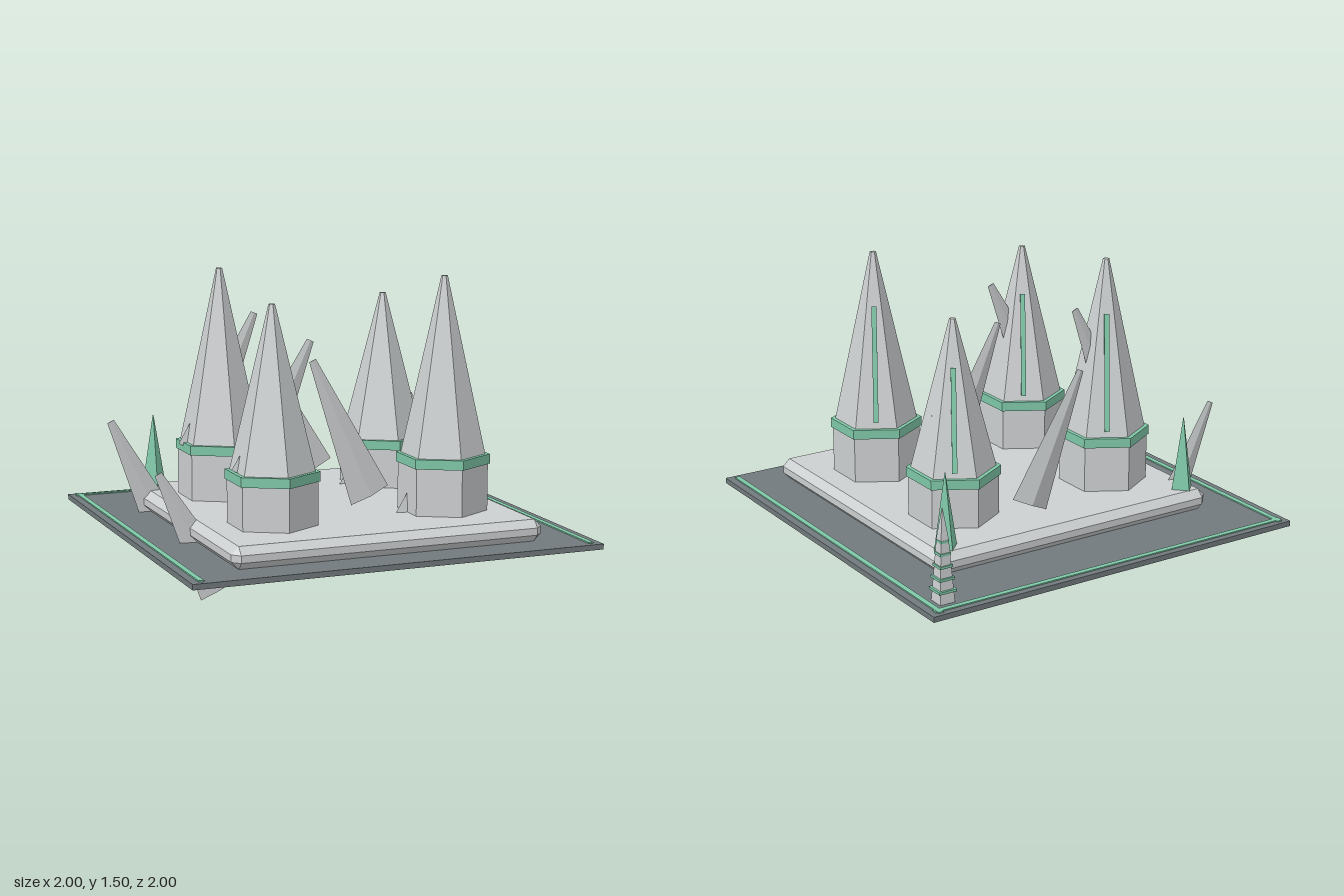
import * as THREE from 'three';
import { ConvexGeometry } from 'three/addons/geometries/ConvexGeometry.js';

const flat = (name, color) => {
  const m = new THREE.MeshStandardMaterial({ color, flatShading: true });
  m.name = name;
  return m;
};

export function createModel() {
  const stone = flat('pale stone', 0xcdd0d1);
  const slate = flat('slate', 0x727a7d);
  const green = flat('mint green', 0x7fc8a8);
  const model = new THREE.Group();
  model.name = 'crystalCourt';

  const add = (name, geo, mat, x, y, z, parent = model) => {
    const mesh = new THREE.Mesh(geo, mat);
    mesh.name = name;
    mesh.position.set(x, y, z);
    parent.add(mesh);
    return mesh;
  };
  const box = (w, h, d) => new THREE.BoxGeometry(w, h, d);
  // Prism or frustum standing on y = 0
  const frustum = (rTop, rBottom, h, sides) =>
    new THREE.CylinderGeometry(rTop, rBottom, h, sides).translate(0, h / 2, 0);

  // Ground slab and its inlaid border, open at the front
  add('groundSlab', box(2, 0.026, 2), slate, 0, 0.283, 0);
  for (const s of [-1, 1]) add('sideBorder', box(0.026, 0.008, 1.95), green, s * 0.95, 0.298, -0.005);
  add('backBorder', box(1.94, 0.007, 0.026), green, 0, 0.298, -0.955);

  // Platform: box with chamfered edges and corners
  const half = [0.763, 0.052, 0.763], cut = 0.035, corners = [];
  for (const sx of [-1, 1]) for (const sy of [-1, 1]) for (const sz of [-1, 1])
    for (let face = 0; face < 3; face++) {
      const p = half.map((h, i) => (i === face ? h : h - cut));
      corners.push(new THREE.Vector3(p[0] * sx, p[1] * sy, p[2] * sz));
    }
  add('platform', new ConvexGeometry(corners), stone, 0, 0.348, 0.098);

  // Six-sided towers: x, z, top height
  const towers = [[-0.43, -0.255, 1.51], [0.43, -0.255, 1.355], [-0.43, 0.46, 1.415], [0.43, 0.46, 1.51]];
  for (const [x, z, top] of towers) {
    const tower = new THREE.Group();
    tower.name = 'tower';
    tower.position.set(x, 0, z);
    model.add(tower);
    const ringTop = 0.67 - (1.51 - top) * 0.2;
    const spireH = top - ringTop, r0 = 0.2, r1 = 0.015;
    add('towerBase', frustum(0.213, 0.213, ringTop - 0.42, 6), stone, 0, 0.395, 0, tower);
    add('towerRing', frustum(0.222, 0.222, 0.046, 6), green, 0, ringTop - 0.046, 0, tower);
    add('spire', frustum(r1, r0, spireH, 6), stone, 0, ringTop, 0, tower);

    // Slim rib lying along one rear face of the spire
    const run = (r0 - r1) * Math.cos(Math.PI / 6);
    const rib = new THREE.Group();
    rib.name = 'spireRib';
    rib.position.y = ringTop;
    rib.rotation.y = Math.PI * 5 / 6;
    tower.add(rib);
    const bar = add('ribBar', box(0.024, Math.hypot(run, spireH) * 0.66, 0.02), green,
      0, spireH * 0.365, r0 * Math.cos(Math.PI / 6) - run * 0.365, rib);
    bar.rotation.x = -Math.atan2(run, spireH);
  }

  // Leaning blade crystals: z, bottom centre x and y, top centre x and y
  const shards = [
    [0.25, -0.617, 0.06, -0.91, 0.628], [-0.46, -0.615, 0.105, -0.925, 0.758],
    [0.25, 0.145, 0.447, -0.148, 1.112], [-0.46, 0.14, 0.45, -0.143, 1.06],
    [0.46, -0.535, 0.62, -0.243, 1.24], [-0.255, -0.55, 0.622, -0.252, 1.285],
    [0.46, 0.235, 0.275, 0.515, 0.9], [-0.255, 0.23, 0.25, 0.53, 0.915],
  ];
  for (const [z, x0, y0, x1, y1] of shards) {
    const geo = frustum(0.018, 0.104, Math.hypot(x1 - x0, y1 - y0), 4).scale(1, 1, 0.23);
    add('shard', geo, stone, x0, y0, z).rotation.z = -Math.atan2(x1 - x0, y1 - y0);
  }

  // Green pyramids at the rear corners of the platform
  for (const s of [-1, 1]) add('cornerPyramid', frustum(0.002, 0.061, 0.36, 4), green, s * 0.673, 0.396, -0.572);

  // Small square pagoda mast with banded tiers
  const mast = new THREE.Group();
  mast.name = 'mast';
  mast.position.set(0.876, 0.296, -0.876);
  mast.rotation.y = Math.PI / 4;
  model.add(mast);
  const R = Math.SQRT2;
  add('mastBody', frustum(0.019 * R, 0.038 * R, 0.3, 4), stone, 0, 0, 0, mast);
  add('mastTip', frustum(0.002, 0.019 * R, 0.135, 4), stone, 0, 0.3, 0, mast);
  for (let i = 0; i < 5; i++) {
    const r = (0.045 - i * 0.006) * R;
    add('mastBand', frustum(r, r, 0.012, 4), green, 0, 0.052 + i * 0.0565, 0, mast);
  }
  return model;
}
